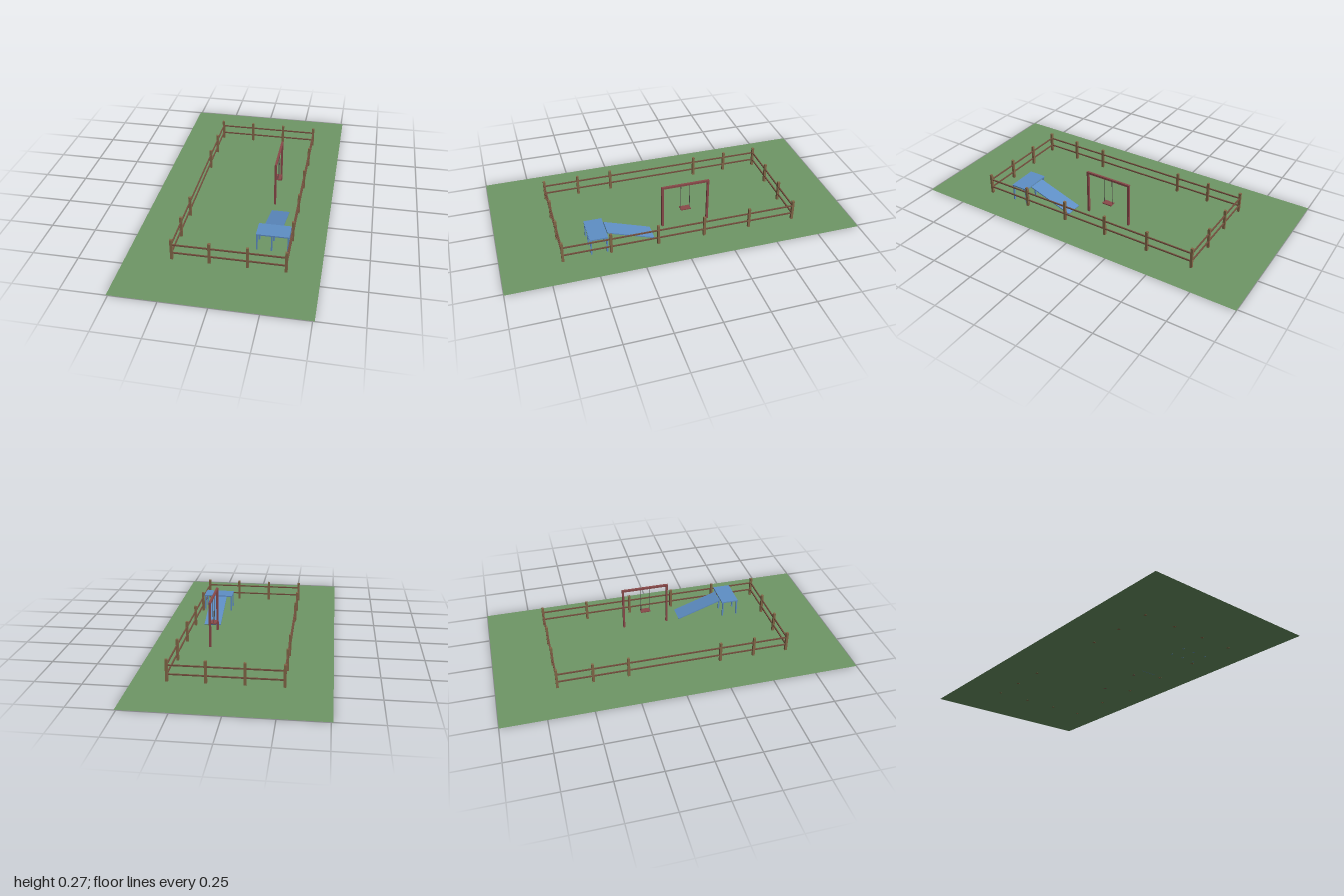
import * as THREE from 'three';

const mat = (name, color, extra = {}) => {
  const m = new THREE.MeshStandardMaterial({ color, ...extra });
  m.name = name;
  return m;
};

export function createModel() {
  const grass = mat('grass green', 0x6f9766, { side: THREE.DoubleSide });
  const postWood = mat('post wood', 0x846848);
  const railWood = mat('rail wood', 0x74503e);
  const red = mat('swing red', 0x8a4a4a);
  const blue = mat('slide blue', 0x5f8fc6);
  const rope = mat('rope grey', 0x55504c);

  const model = new THREE.Group();
  model.name = 'playground';
  const group = (name) => {
    const g = new THREE.Group();
    g.name = name;
    model.add(g);
    return g;
  };
  // Box given by its size and centre
  const box = (parent, name, material, [w, h, d], [x, y, z]) => {
    const m = new THREE.Mesh(new THREE.BoxGeometry(w, h, d), material);
    m.name = name;
    m.position.set(x, y, z);
    parent.add(m);
    return m;
  };

  // Lawn
  const lawn = new THREE.Mesh(new THREE.PlaneGeometry(1.02, 2), grass);
  lawn.name = 'lawn';
  lawn.rotation.x = -Math.PI / 2;
  lawn.position.y = 0.001;
  model.add(lawn);

  // Fence: posts, then two rails along each side
  const fence = group('fence');
  const [x0, x1, zEnd] = [-0.268, 0.332, 0.667];
  const post = (x, z) => box(fence, 'fencePost', postWood, [0.014, 0.123, 0.014], [x, 0.0615, z]);
  for (const z of [-zEnd, zEnd]) for (let i = 0; i < 4; i++) post(x0 + 0.2 * i, z);
  for (const z of [-0.467, -0.267, 0.267, 0.467]) post(x0, z);
  for (const z of [-0.4, -0.133, 0.133, 0.4]) post(x1, z);
  for (const y of [0.04, 0.09]) {
    for (const z of [-zEnd, zEnd])
      box(fence, 'endRail', railWood, [x1 - x0, 0.007, 0.007], [(x0 + x1) / 2, y, z]);
    for (const x of [x0, x1])
      box(fence, 'sideRail', railWood, [0.007, 0.007, 2 * zEnd], [x, y, 0]);
  }

  // Swing
  const swing = group('swing');
  const [sx, sz] = [0.187, -0.065];
  for (const s of [-1, 1]) {
    box(swing, 'swingPost', red, [0.012, 0.254, 0.012], [sx, 0.127, sz + s * 0.133]);
    box(swing, 'swingRope', rope, [0.003, 0.155, 0.003], [sx, 0.1785, sz + s * 0.026]);
  }
  box(swing, 'swingBeam', red, [0.012, 0.012, 0.278], [sx, 0.26, sz]);
  box(swing, 'swingSeat', red, [0.035, 0.006, 0.058], [sx, 0.101, sz]);

  // Slide: raised platform on six legs with a sloping chute
  const slide = group('slide');
  box(slide, 'platform', blue, [0.176, 0.007, 0.102], [0.237, 0.098, 0.463]);
  for (const x of [0.154, 0.233, 0.32])
    for (const z of [0.42, 0.508])
      box(slide, 'platformLeg', blue, [0.008, 0.095, 0.008], [x, 0.0475, z]);
  const [rise, run] = [0.092, 0.264];
  const chute = box(slide, 'chute', blue, [0.1, 0.006, Math.hypot(rise, run)], [0.231, 0.049, 0.276]);
  chute.rotation.x = -Math.atan2(rise, run);

  return model;
}
